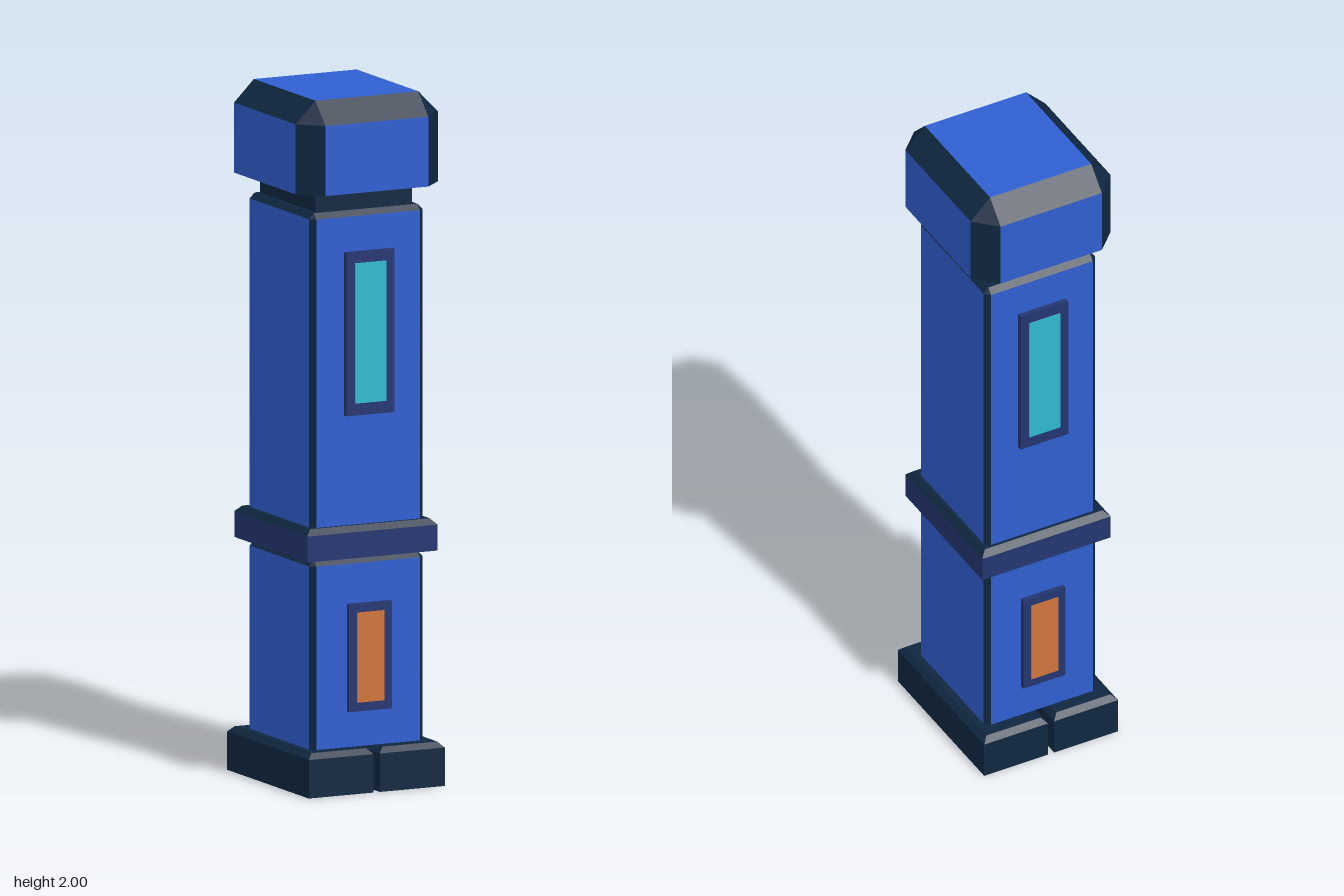
import * as THREE from 'three';

const flat = (name, color) => {
  const m = new THREE.MeshStandardMaterial({ color });
  m.name = name;
  return m;
};

// Eight-point ring with cut corners, counter-clockwise seen from above
function ring(x, z, cut, y) {
  const a = x - cut, b = z - cut;
  return [[-a, z], [a, z], [x, b], [x, -b], [a, -z], [-a, -z], [-x, -b], [-x, b]]
    .map(([px, pz]) => new THREE.Vector3(px, y, pz));
}

// Block with bevelled top rim and optional bevelled upright corners.
// Material groups: 0 walls and underside, 1 bevels, 2 top
function bevelledBlock(x, z, y0, y1, bevel, cornerCut) {
  const low = ring(x, z, cornerCut, y0);
  const mid = ring(x, z, cornerCut, y1 - bevel);
  const top = ring(x - bevel, z - bevel, 0, y1);
  const faces = [[], [], []];
  const tri = (g, a, b, c) => {
    if (new THREE.Triangle(a, b, c).getArea() > 1e-9) faces[g].push(a, b, c);
  };
  const quad = (g, a, b, c, d) => { tri(g, a, b, c); tri(g, a, c, d); };
  for (let i = 0; i < 8; i++) {
    const j = (i + 1) % 8;
    quad(i % 2, low[i], low[j], mid[j], mid[i]);
    quad(1, mid[i], mid[j], top[j], top[i]);
    if (i > 0 && i < 7) {
      tri(2, top[0], top[i], top[j]);
      tri(0, low[0], low[j], low[i]);
    }
  }
  const geo = new THREE.BufferGeometry().setFromPoints(faces.flat());
  let start = 0;
  faces.forEach((f, g) => { geo.addGroup(start, f.length, g); start += f.length; });
  geo.computeVertexNormals();
  return geo;
}

export function createModel() {
  const blue = flat('blue panel', 0x2f5fd0);
  const dark = flat('dark trim', 0x0f2740);
  const navy = flat('navy trim', 0x243670);
  const cyan = flat('cyan glow', 0x30b9cf);
  const orange = flat('orange glow', 0xd0743c);

  const model = new THREE.Group();
  model.name = 'pillar';
  const add = (name, geo, mat, parent = model) => {
    const mesh = new THREE.Mesh(geo, mat);
    mesh.name = name;
    parent.add(mesh);
    return mesh;
  };

  // Pair of feet with a narrow gap
  for (const [side, s] of [['left', 1], ['right', -1]]) {
    add(`${side}Foot`, bevelledBlock(0.1035, 0.254, 0, 0.127, 0.016, 0), dark).position.x = s * 0.1135;
  }

  // Column sections, waist band, neck and head
  add('lowerColumn', bevelledBlock(0.181, 0.2, 0.127, 0.672, 0.016, 0.016), [blue, dark, dark]);
  add('waistBand', bevelledBlock(0.208, 0.227, 0.676, 0.768, 0.017, 0), [navy, dark, dark]);
  add('upperColumn', bevelledBlock(0.181, 0.2, 0.768, 1.674, 0.016, 0.016), [blue, dark, dark]);
  add('neck', new THREE.BoxGeometry(0.308, 0.064, 0.344), dark).position.y = 1.704;
  add('head', bevelledBlock(0.227, 0.255, 1.735, 2, 0.063, 0.063), [blue, dark, blue]);

  // Framed windows on front and back
  const windows = [
    ['upperWindow', 0.154, 1.085, 1.557, 0.1, 1.12, 1.525, cyan],
    ['lowerWindow', 0.136, 0.23, 0.541, 0.087, 0.256, 0.516, orange],
  ];
  for (const [name, fw, f0, f1, gw, g0, g1, glow] of windows) {
    for (const [side, turn] of [['Front', 0], ['Back', Math.PI]]) {
      const win = new THREE.Group();
      win.name = name + side;
      win.rotation.y = turn;
      add('frame', new THREE.BoxGeometry(fw, f1 - f0, 0.02), navy, win).position.set(0, (f0 + f1) / 2, 0.205);
      add('pane', new THREE.BoxGeometry(gw, g1 - g0, 0.006), glow, win).position.set(0, (g0 + g1) / 2, 0.215);
      model.add(win);
    }
  }
  return model;
}
